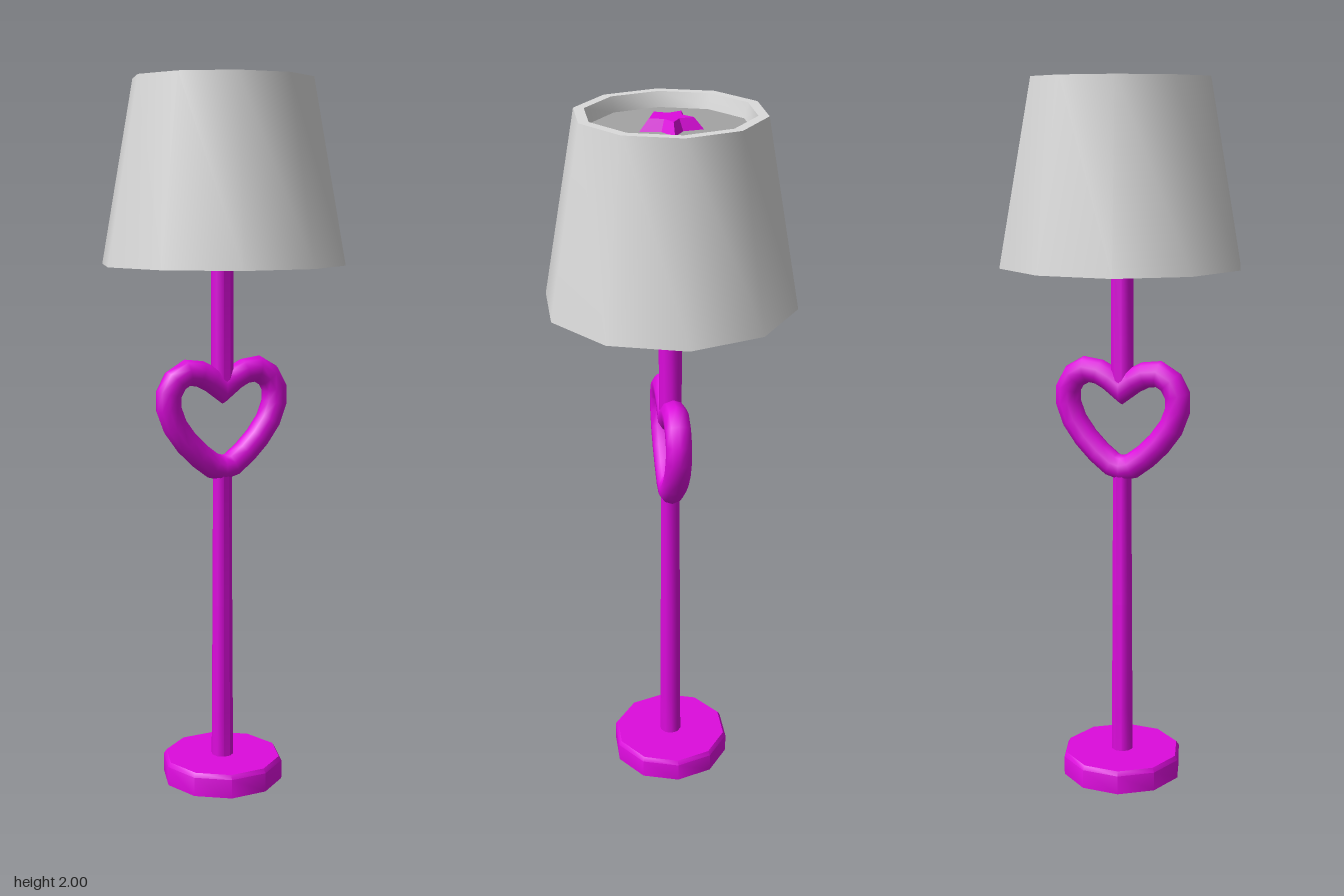
import * as THREE from 'three';
import { toCreasedNormals } from 'three/addons/utils/BufferGeometryUtils.js';

const SIDES = 10;

export function createModel() {
  const model = new THREE.Group();
  model.name = 'floorLamp';

  const magenta = new THREE.MeshStandardMaterial({ name: 'magenta', color: 0xdd0bdd });
  const lightGrey = new THREE.MeshStandardMaterial({ name: 'lightGrey', color: 0xdadada });
  const midGrey = new THREE.MeshStandardMaterial({ name: 'midGrey', color: 0xa3a3a3 });

  const add = (name, geometry, material) => {
    const mesh = new THREE.Mesh(geometry, material);
    mesh.name = name;
    model.add(mesh);
    return mesh;
  };

  // Ten-sided turned part with a corner on the x axis, smooth sides and sharp rims
  const turned = (name, profile, material) => {
    const points = profile.map(([r, y]) => new THREE.Vector2(r, y));
    const geometry = new THREE.LatheGeometry(points, SIDES).rotateY(Math.PI / 2);
    return add(name, toCreasedNormals(geometry, 0.7), material);
  };

  // Base and the two lengths of pole
  turned('base', [[0, 0], [0.175, 0], [0.175, 0.055], [0.167, 0.067], [0, 0.067]], magenta);
  turned('lowerPole', [[0, 0.06], [0.032, 0.06], [0.031, 0.2], [0.029, 0.52], [0.027, 0.92], [0, 0.92]], magenta);
  turned('upperPole', [[0, 1.17], [0.032, 1.17], [0.032, 1.57], [0, 1.57]], magenta);

  // Shade: recessed underside with a socket hole, sloping wall and top rim
  turned('shade', [
    [0, 1.58], [0.048, 1.58], [0.048, 1.545], [0.295, 1.545], [0.303, 1.495],
    [0.342, 1.495], [0.25, 2], [0.222, 2], [0.212, 1.96],
  ], lightGrey);
  turned('shadeTop', [[0.212, 1.96], [0, 1.96]], midGrey);

  // Star finial: a tapered ten-sided prism with every second corner pulled in
  const star = new THREE.CylinderGeometry(0.06, 0.086, 0.03, SIDES).toNonIndexed();
  const p = star.attributes.position;
  for (let i = 0; i < p.count; i++) {
    const k = Math.round(Math.atan2(p.getX(i), p.getZ(i)) / (Math.PI / 5));
    const s = k % 2 ? 0.54 : 1;
    p.setXYZ(i, p.getX(i) * s, p.getY(i), p.getZ(i) * s);
  }
  star.rotateY(Math.PI / 2).translate(0, 1.975, 0);
  star.computeVertexNormals();
  add('starFinial', star, magenta);

  add('heart', heartGeometry(), magenta);
  return model;
}

// Round tube swept along a mirrored heart outline, mitred at the corners
function heartGeometry() {
  const half = [
    [0.035, 1.176], [0.07, 1.194], [0.11, 1.199], [0.146, 1.178], [0.166, 1.142],
    [0.166, 1.1], [0.147, 1.05], [0.112, 1.002], [0.072, 0.962], [0.03, 0.93],
  ];
  const path = [
    [0, 1.15], ...half, [0, 0.922],
    ...half.slice().reverse().map(([x, y]) => [-x, y]),
  ].map(([x, y]) => new THREE.Vector2(x, y));
  const n = path.length;
  const r = 0.036;
  const positions = [];
  const index = [];

  path.forEach((c, i) => {
    const before = c.clone().sub(path[(i + n - 1) % n]).normalize();
    const after = path[(i + 1) % n].clone().sub(c).normalize();
    const tangent = before.clone().add(after).normalize();
    const mitre = 1 / Math.max(0.75, tangent.dot(after));
    for (let j = 0; j < SIDES; j++) {
      const a = (j / SIDES) * Math.PI * 2;
      const d = Math.cos(a) * r * mitre;
      positions.push(c.x - tangent.y * d, c.y + tangent.x * d, Math.sin(a) * r);
      const next = (i + 1) % n;
      const k = (j + 1) % SIDES;
      const A = i * SIDES + j, B = i * SIDES + k;
      const C = next * SIDES + k, D = next * SIDES + j;
      index.push(A, B, C, A, C, D);
    }
  });

  const geometry = new THREE.BufferGeometry();
  geometry.setAttribute('position', new THREE.Float32BufferAttribute(positions, 3));
  geometry.setIndex(index);
  return toCreasedNormals(geometry, 1.0);
}
